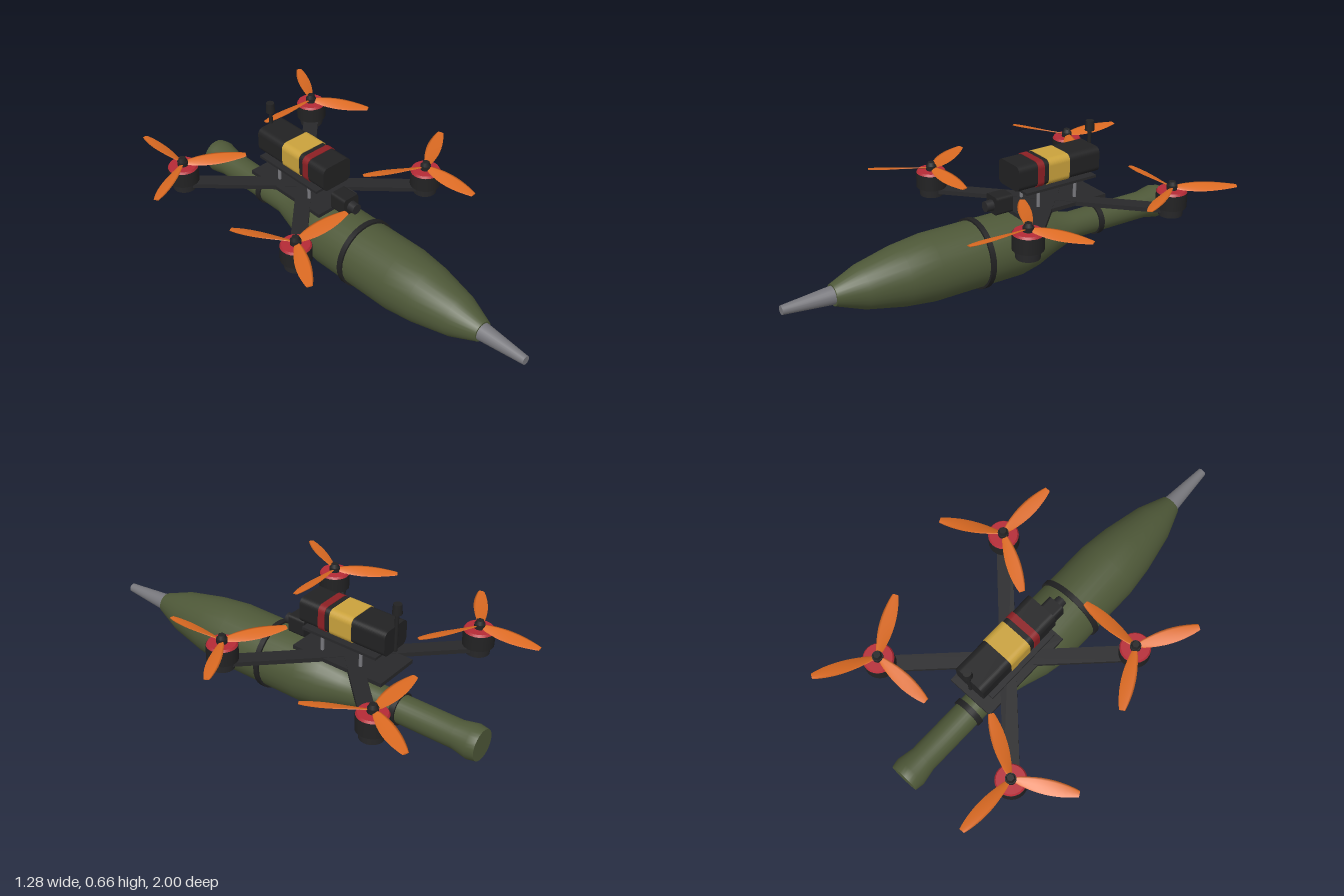
import * as THREE from 'three';

const mat = (name, color, opts = {}) => {
  const m = new THREE.MeshStandardMaterial({ color, ...opts });
  m.name = name;
  return m;
};

export function createModel() {
  const olive = mat('olive green', 0x4e5838);
  const black = mat('black', 0x222223);
  const carbon = mat('carbon', 0x28282a);
  const orange = mat('orange', 0xdb6a22);
  const red = mat('motor red', 0xb52a36);
  const darkRed = mat('label red', 0x8c2024);
  const yellow = mat('label yellow', 0xcaa23c);
  const grey = mat('metal grey', 0x77777c);

  const root = new THREE.Group();
  root.name = 'quadcopter';
  const AXIS = 0.164;

  const add = (name, geo, material, x = 0, y = 0, z = 0, parent = root) => {
    const m = new THREE.Mesh(geo, material);
    m.name = name;
    m.position.set(x, y, z);
    parent.add(m);
    return m;
  };
  const cyl = (top, bottom, h, n = 24) => new THREE.CylinderGeometry(top, bottom, h, n);
  // cylinder lying along z, front radius first
  const zCyl = (front, back, h, n = 28) => cyl(front, back, h, n).rotateX(Math.PI / 2);
  // rounded rectangle extruded along z, centred
  const bar = (w, h, d, r) => {
    const s = new THREE.Shape();
    const a = w / 2 - r, b = h / 2 - r;
    s.absarc(a, b, r, 0, Math.PI / 2);
    s.absarc(-a, b, r, Math.PI / 2, Math.PI);
    s.absarc(-a, -b, r, Math.PI, Math.PI * 1.5);
    s.absarc(a, -b, r, Math.PI * 1.5, Math.PI * 2);
    return new THREE.ExtrudeGeometry(s, { depth: d, bevelEnabled: false, curveSegments: 5 })
      .translate(0, 0, -d / 2);
  };

  // Slung body: turned profile of [radius, z] from tail to nose
  const profile = [
    [0.071, -0.985], [0.078, -0.945], [0.064, -0.87], [0.064, -0.45], [0.1, -0.32],
    [0.133, -0.22], [0.152, -0.12], [0.152, 0.32], [0.136, 0.46], [0.098, 0.64], [0.048, 0.77],
  ].map(([r, z]) => new THREE.Vector2(r, z));
  add('payloadBody', new THREE.LatheGeometry(profile, 28).rotateX(Math.PI / 2), olive, 0, AXIS, 0);
  add('payloadTailCap', new THREE.CircleGeometry(0.071, 28).rotateY(Math.PI), olive, 0, AXIS, -0.985);
  add('payloadFrontCap', new THREE.CircleGeometry(0.048, 28), olive, 0, AXIS, 0.77);
  add('noseCone', zCyl(0.02, 0.041, 0.235, 20), grey, 0, AXIS, 0.8825);

  // Straps around the body
  add('frontStrap', zCyl(0.162, 0.162, 0.025, 32), black, 0, AXIS, 0.075);
  add('rearStrap', zCyl(0.073, 0.073, 0.027), black, 0, AXIS, -0.585);

  // Frame plates, arms and standoffs
  const MID = -0.325;
  add('bottomPlate', new THREE.BoxGeometry(0.23, 0.018, 0.46), carbon, 0, 0.33, -0.33);
  add('topPlate', new THREE.BoxGeometry(0.195, 0.012, 0.38), carbon, 0, 0.43, -0.325);
  for (const a of [1, -1]) {
    const arm = add('crossArm', new THREE.BoxGeometry(0.07, 0.02, 1.09), carbon, 0, 0.331, MID);
    arm.rotation.y = a * Math.PI / 4;
  }
  for (const x of [-0.065, 0.065])
    for (const z of [-0.22, -0.42])
      add('standoff', cyl(0.008, 0.008, 0.088, 10), grey, x, 0.382, z);

  // Battery with label bands
  const BY = 0.496;
  add('battery', bar(0.158, 0.118, 0.438, 0.028), black, 0, BY, -0.325);
  add('yellowLabel', bar(0.164, 0.124, 0.112, 0.03), yellow, 0, BY, -0.321);
  add('redLabel', bar(0.164, 0.124, 0.034, 0.03), darkRed, 0, BY, -0.223);

  // Camera
  add('cameraBody', bar(0.084, 0.084, 0.085, 0.014), black, 0, 0.378, -0.058);
  add('cameraLens', zCyl(0.024, 0.026, 0.04, 18), carbon, 0, 0.375, 0);

  // Antenna
  add('antennaMast', cyl(0.009, 0.009, 0.19, 10), black, 0, 0.53, -0.545);
  add('antennaTip', cyl(0.019, 0.022, 0.046, 10), black, 0, 0.637, -0.545);

  // Propeller blade: tapered, twisted thin section pointing along +x
  const R0 = 0.012, R1 = 0.287;
  const blade = new THREE.CylinderGeometry(1, 1, 1, 8, 10);
  const p = blade.attributes.position;
  for (let i = 0; i < p.count; i++) {
    const t = p.getY(i) + 0.5;
    const chord = 0.01 + 0.023 * Math.pow(Math.sin(Math.PI * Math.min(1, t * 0.97)), 0.8);
    const pitch = 0.5 - 0.38 * t;
    const a = p.getX(i) * 0.003, c = p.getZ(i) * chord;
    p.setXYZ(i,
      a * Math.cos(pitch) + c * Math.sin(pitch),
      R0 + t * (R1 - R0),
      c * Math.cos(pitch) - a * Math.sin(pitch));
  }
  blade.rotateZ(-Math.PI / 2);
  blade.computeVertexNormals();

  // Four motors with three-bladed propellers
  const rotors = [
    [-0.386, 0.06, 0], [0.386, 0.06, -Math.PI / 2],
    [0.386, -0.711, Math.PI], [-0.386, -0.711, Math.PI / 2],
  ];
  for (const [x, z, turn] of rotors) {
    const g = new THREE.Group();
    g.name = 'rotor';
    g.position.set(x, 0, z);
    root.add(g);
    add('motorBase', cyl(0.057, 0.053, 0.042), carbon, 0, 0.326, 0, g);
    add('motorBell', cyl(0.069, 0.069, 0.07), black, 0, 0.38, 0, g);
    add('motorCap', cyl(0.062, 0.068, 0.01), red, 0, 0.42, 0, g);
    add('propHub', cyl(0.024, 0.024, 0.022, 16), black, 0, 0.434, 0, g);
    add('propNut', cyl(0.016, 0.022, 0.018, 6), black, 0, 0.453, 0, g);
    for (let k = 0; k < 3; k++)
      add('propBlade', blade, orange, 0, 0.434, 0, g).rotation.y = turn + k * Math.PI * 2 / 3;
  }
  return root;
}
